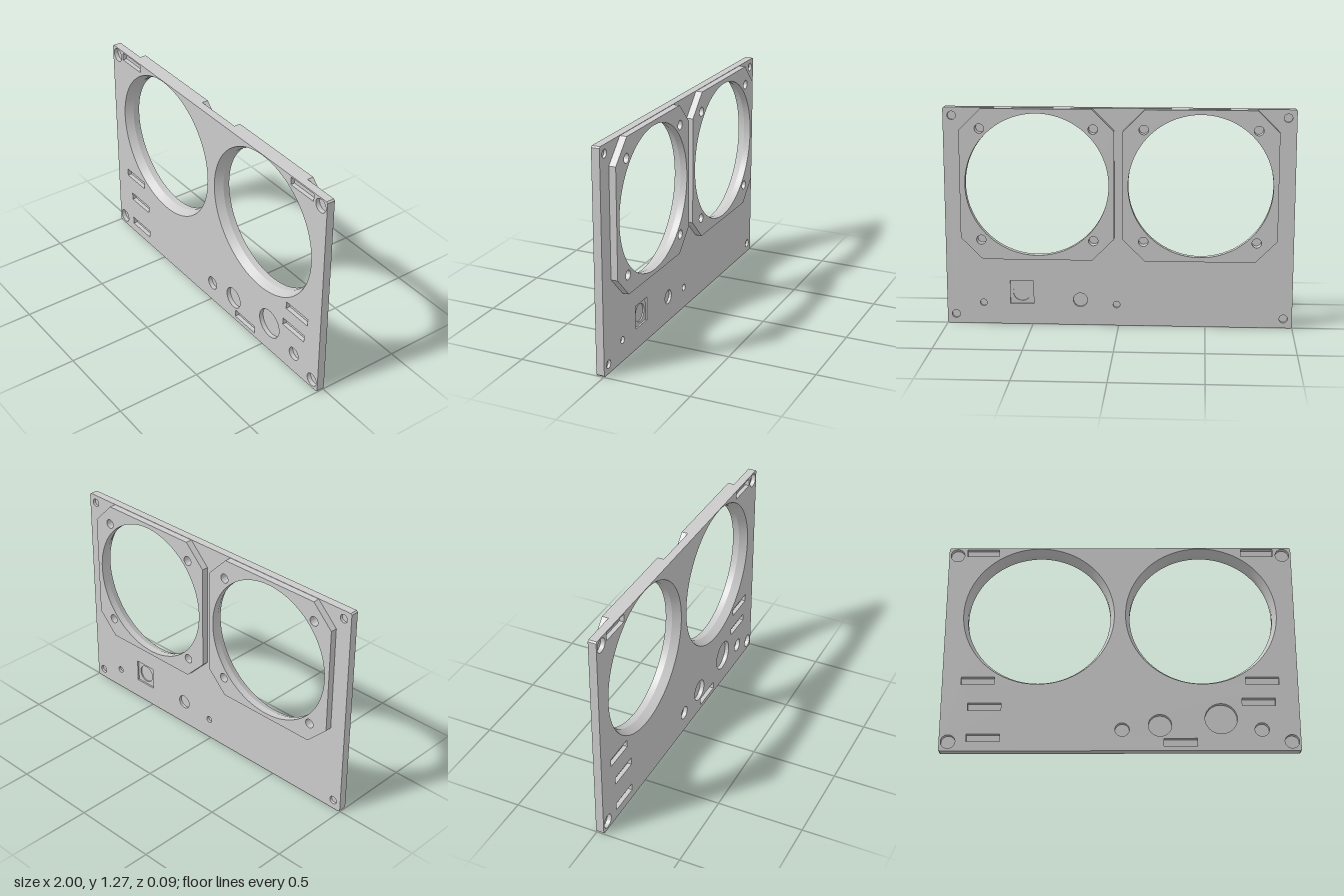
import * as THREE from 'three';
import { toCreasedNormals } from 'three/addons/utils/BufferGeometryUtils.js';

const H = 1.27;
const FRONT = 0.043, BACK = -0.004, PAD_BACK = -0.043;   // main z levels
const FRONT_FLOOR = 0.018, BACK_FLOOR = 0.012;           // pocket floors
const CX = 0.465, CY = 0.832;                            // big opening centres
const R_FRONT = 0.433, R_BACK = 0.41;

// Counter-clockwise outlines
function circle(x, y, r, n = 32) {
  return Array.from({ length: n }, (_, i) => {
    const a = (i / n) * Math.PI * 2;
    return new THREE.Vector2(x + r * Math.cos(a), y + r * Math.sin(a));
  });
}

function rect(x, y, hw, hh) {
  return [[-1, -1], [1, -1], [1, 1], [-1, 1]]
    .map(([i, j]) => new THREE.Vector2(x + i * hw, y + j * hh));
}

function chamferedRect(x, y, hw, hh, c) {
  return [[-hw + c, -hh], [hw - c, -hh], [hw, -hh + c], [hw, hh - c],
    [hw - c, hh], [-hw + c, hh], [-hw, hh - c], [-hw, -hh + c]]
    .map(([i, j]) => new THREE.Vector2(x + i, y + j));
}

// Collects flat faces and walls of one part
class Surface {
  constructor() { this.pos = []; }

  // Flat face with holes, looking along +z (dir 1) or -z (dir -1)
  face(outline, holes, z, dir) {
    const shape = new THREE.Shape(outline);
    shape.holes = holes.map((h) => new THREE.Path(h));
    const g = new THREE.ShapeGeometry(shape);
    const p = g.attributes.position, idx = g.index.array;
    for (let i = 0; i < idx.length; i += 3) {
      const order = dir > 0 ? [0, 1, 2] : [0, 2, 1];
      for (const k of order) this.pos.push(p.getX(idx[i + k]), p.getY(idx[i + k]), z);
    }
  }

  // Wall from outline a at the higher z to outline b at the lower z
  wall(a, za, b, zb, inward) {
    for (let i = 0; i < a.length; i++) {
      const j = (i + 1) % a.length;
      const A = [a[i].x, a[i].y, za], B = [a[j].x, a[j].y, za];
      const C = [b[i].x, b[i].y, zb], D = [b[j].x, b[j].y, zb];
      const quad = inward ? [C, B, D, C, A, B] : [C, D, B, C, B, A];
      this.pos.push(...quad.flat());
    }
  }

  // Blind pocket cut from the front (dir 1) or the back (dir -1)
  pocket(outline, zOpen, zFloor, dir) {
    this.wall(outline, Math.max(zOpen, zFloor), outline, Math.min(zOpen, zFloor), true);
    this.face(outline, [], zFloor, dir);
  }

  mesh(name, material) {
    const g = new THREE.BufferGeometry();
    g.setAttribute('position', new THREE.Float32BufferAttribute(this.pos, 3));
    const m = new THREE.Mesh(toCreasedNormals(g, Math.PI / 7), material);
    m.name = name;
    return m;
  }
}

export function createModel() {
  const group = new THREE.Group();
  group.name = 'twinOpeningPanel';
  const material = new THREE.MeshStandardMaterial({ color: 0xcccccc });

  const corners = [[-0.95, 0.055], [0.95, 0.055], [-0.95, 1.222], [0.95, 1.222]];
  const slots = [[-0.8, 1.238], [0.8, 1.238], [-0.8, 0.42], [0.8, 0.42],
    [-0.757, 0.263], [-0.757, 0.077], [0.775, 0.29], [0.335, 0.05]];
  const sides = [-1, 1];
  const padOutline = (s) => chamferedRect(s * CX, CY, 0.44, 0.436, 0.125);

  // Recesses in the front: corner seats, control seats and slots
  const frontPockets = [
    ...corners.map(([x, y]) => circle(x, y, 0.04)),
    circle(0.012, 0.125, 0.04), circle(0.222, 0.15, 0.065),
    circle(0.562, 0.19, 0.09), circle(0.787, 0.125, 0.04),
    ...slots.map(([x, y]) => rect(x, y, 0.093, 0.023)),
  ];

  // Recesses in the back: screw holes and control holes
  const backPockets = [
    ...corners.map(([x, y]) => circle(x, y, 0.024)),
    circle(0.012, 0.125, 0.02), circle(0.222, 0.15, 0.041),
    circle(0.787, 0.125, 0.02),
  ];
  const squareSeat = rect(0.562, 0.19, 0.068, 0.068);
  const squareSeatHole = circle(0.562, 0.19, 0.052);

  // Main panel
  const panel = new Surface();
  const outline = chamferedRect(0, H / 2, 1, H / 2, 0.008);
  panel.face(outline, [...frontPockets, ...sides.map((s) => circle(s * CX, CY, R_FRONT, 96))], FRONT, 1);
  panel.face(outline, [...backPockets, squareSeat, ...sides.map(padOutline)], BACK, -1);
  panel.wall(outline, FRONT, outline, BACK, false);
  frontPockets.forEach((p) => panel.pocket(p, FRONT, FRONT_FLOOR, 1));
  backPockets.forEach((p) => panel.pocket(p, BACK, BACK_FLOOR, -1));

  // Stepped square seat behind the largest control
  panel.wall(squareSeat, 0.006, squareSeat, BACK, true);
  panel.face(squareSeat, [squareSeatHole], 0.006, -1);
  panel.pocket(squareSeatHole, 0.006, 0.014, -1);

  // Tapered walls of the two big openings
  sides.forEach((s) => panel.wall(
    circle(s * CX, CY, R_FRONT, 96), FRONT, circle(s * CX, CY, R_BACK, 96), BACK, true));
  group.add(panel.mesh('panel', material));

  // Raised octagonal mounting pads on the back
  sides.forEach((s) => {
    const pad = new Surface();
    const edge = padOutline(s);
    const opening = circle(s * CX, CY, R_BACK, 96);
    const screws = [[-1, -1], [1, -1], [1, 1], [-1, 1]]
      .map(([i, j]) => circle(s * CX + i * 0.322, CY + j * 0.322, 0.027));
    pad.face(edge, [opening, ...screws], PAD_BACK, -1);
    pad.wall(edge, BACK, edge, PAD_BACK, false);
    pad.wall(opening, BACK, opening, PAD_BACK, true);
    screws.forEach((h) => pad.pocket(h, PAD_BACK, BACK_FLOOR, -1));
    group.add(pad.mesh(s > 0 ? 'leftMountingPad' : 'rightMountingPad', material));
  });

  return group;
}
